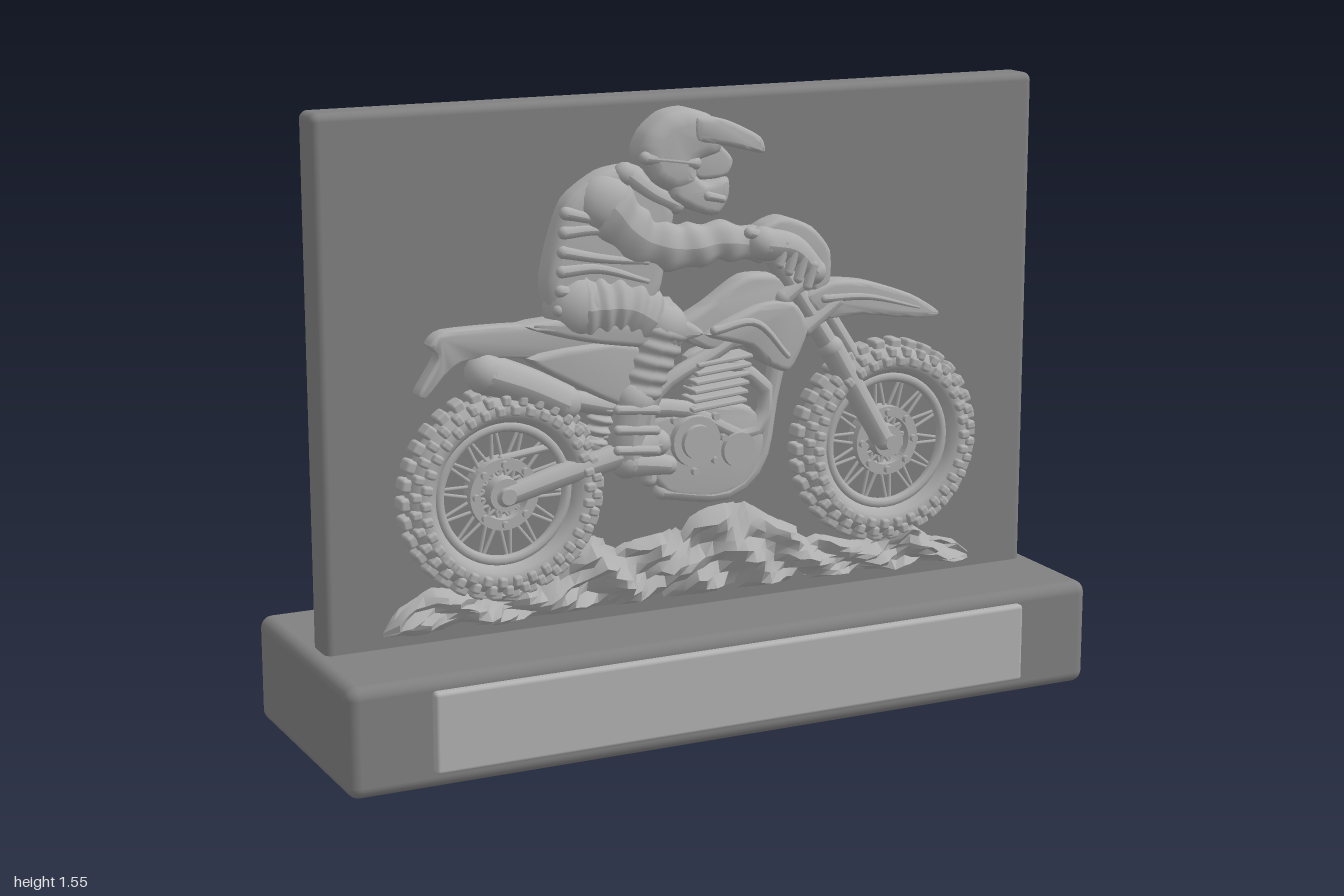
import * as THREE from 'three';
import { toCreasedNormals } from 'three/addons/utils/BufferGeometryUtils.js';
import { RoundedBoxGeometry } from 'three/addons/geometries/RoundedBoxGeometry.js';

const stone = new THREE.MeshStandardMaterial({ color: 0x808080 });
stone.name = 'dark grey stand';
const relief = new THREE.MeshStandardMaterial({ color: 0xaeaeae });
relief.name = 'light grey relief';
const plateMat = new THREE.MeshStandardMaterial({ color: 0xb2b2b2 });
plateMat.name = 'pale grey plate';

function add(parent, name, geo, mat, x = 0, y = 0, z = 0) {
  const m = new THREE.Mesh(geo, mat);
  m.name = name;
  m.position.set(x, y, z);
  parent.add(m);
  return m;
}

// Outlines and paths below are given in hundredths of a unit.
const vec = ([x, y], z = 0) => new THREE.Vector3(x / 100, y / 100, z);

// Raised panel with a smooth outline and a rounded front edge, up to depth `top`.
function panel(parent, name, pts, top, bevel = 0.014) {
  const curve = new THREE.CatmullRomCurve3(pts.map(p => vec(p)), true, 'catmullrom', 0.35);
  const outline = curve.getPoints(pts.length * 4).slice(0, -1);
  const geo = new THREE.ExtrudeGeometry(new THREE.Shape(outline.map(p => new THREE.Vector2(p.x, p.y))), {
    depth: top - 0.03 - bevel, bevelThickness: bevel, bevelSize: bevel, bevelOffset: -bevel, bevelSegments: 3,
  });
  return add(parent, name, toCreasedNormals(geo, 0.8), relief, 0, 0, 0.03);
}

// Tapered tube with rounded ends; `fold` adds cloth creases along it.
function limb(parent, name, pts, r0, r1, z = 0.09, fold = 0, flat = 1) {
  const group = new THREE.Group();
  group.name = name;
  parent.add(group);
  const curve = new THREE.CatmullRomCurve3(pts.map(p => vec(p)));
  const rows = fold ? 40 : 14, sides = 12;
  const geo = new THREE.TubeGeometry(curve, rows, 1, sides);
  const pos = geo.attributes.position, c = new THREE.Vector3(), v = new THREE.Vector3();
  for (let i = 0; i < pos.count; i++) {
    const t = Math.floor(i / (sides + 1)) / rows, a = (i % (sides + 1)) / sides * Math.PI * 2;
    curve.getPointAt(t, c);
    v.fromBufferAttribute(pos, i).sub(c);
    v.multiplyScalar(THREE.MathUtils.lerp(r0, r1, t) + fold * Math.sin(t * 34 + 1.4 * Math.sin(a)));
    pos.setXYZ(i, c.x + v.x, c.y + v.y, c.z + v.z * flat);
  }
  geo.computeVertexNormals();
  add(group, 'sleeve', geo, relief, 0, 0, z);
  [[pts[0], r0], [pts[pts.length - 1], r1]].forEach(([p, r]) => {
    add(group, 'end', new THREE.SphereGeometry(r, 14, 10), relief, p[0] / 100, p[1] / 100, z).scale.z = flat;
  });
  return group;
}

// Round boss facing forward, reaching depth `top`.
function boss(parent, name, x, y, r, top) {
  const m = add(parent, name, new THREE.CylinderGeometry(r * 0.88, r, top - 0.04, 24), relief, x, y, (top + 0.04) / 2);
  m.rotation.x = Math.PI / 2;
  return m;
}

function wheel(parent, name, x, y) {
  const g = new THREE.Group();
  g.name = name;
  g.position.set(x, y, 0);
  parent.add(g);
  add(g, 'tyre', new THREE.TorusGeometry(0.208, 0.037, 12, 60), relief, 0, 0, 0.085).scale.z = 1.2;
  add(g, 'rim', new THREE.TorusGeometry(0.164, 0.013, 8, 48), relief, 0, 0, 0.095);
  const ring = new THREE.Shape().absarc(0, 0, 0.088, 0, Math.PI * 2);
  ring.holes.push(new THREE.Path().absarc(0, 0, 0.062, 0, Math.PI * 2));
  add(g, 'brakeDisc', new THREE.ExtrudeGeometry(ring, { depth: 0.045, bevelEnabled: false, curveSegments: 24 }), relief, 0, 0, 0.06);
  boss(g, 'hub', 0, 0, 0.046, 0.115);
  boss(g, 'axle', 0, 0, 0.022, 0.135);
  // Tread: an outer row and two staggered side rows
  const knob = new RoundedBoxGeometry(0.032, 0.03, 0.05, 2, 0.008);
  const sideKnob = new RoundedBoxGeometry(0.022, 0.026, 0.03, 2, 0.007);
  const n = 34;
  for (let i = 0; i < n; i++) {
    const a = i / n * Math.PI * 2;
    [[knob, 0.247, 0.08, 0], [sideKnob, 0.232, 0.118, 0.5], [sideKnob, 0.21, 0.128, 0]].forEach(([geo, r, z, s]) => {
      const b = a + s * Math.PI * 2 / n;
      add(g, 'treadKnob', geo, relief, Math.cos(b) * r, Math.sin(b) * r, z).rotation.z = b - Math.PI / 2;
    });
  }
  // Crossed spokes
  const spoke = new THREE.CylinderGeometry(0.0045, 0.0045, 0.135, 6);
  for (let i = 0; i < 28; i++) {
    const a = i / 28 * Math.PI * 2, lean = i % 2 ? 0.22 : -0.22;
    add(g, 'spoke', spoke, relief, Math.cos(a) * 0.1, Math.sin(a) * 0.1, 0.08).rotation.z = a - Math.PI / 2 + lean;
  }
  for (let i = 0; i < 8; i++) {
    const a = i / 8 * Math.PI * 2;
    boss(g, 'discBolt', Math.cos(a) * 0.074, Math.sin(a) * 0.074, 0.01, 0.118);
  }
}

// Craggy ground built from a grid between the base line and a skyline.
function rocks(parent) {
  const sky = [[-82, 31], [-78, 37], [-69, 41], [-58, 38], [-42, 39], [-34, 46], [-28, 49], [-18, 46], [-8, 47], [3, 52],
    [14, 53], [23, 47], [33, 42], [46, 38], [60, 42], [68, 37], [75, 35], [80, 31]];
  const rand = (i, j) => { const s = Math.sin(i * 12.99 + j * 78.23) * 43758.55; return s - Math.floor(s); };
  const top = x => {
    const k = Math.max(1, sky.findIndex(p => p[0] >= x)), [a, b] = [sky[k - 1], sky[k]];
    return THREE.MathUtils.mapLinear(x, a[0], b[0], a[1], b[1]) / 100;
  };
  const cols = 64, rows = 8, geo = new THREE.PlaneGeometry(1, 1, cols, rows), pos = geo.attributes.position;
  for (let j = 0; j <= rows; j++) for (let i = 0; i <= cols; i++) {
    const v = 1 - j / rows, x = -82 + 162 * i / cols, edge = j === 0 || j === rows || i === 0 || i === cols;
    const y = THREE.MathUtils.lerp(0.295, top(x), v) + (edge ? 0 : (rand(i, j) - 0.5) * 0.012);
    const ridge = 0.02 * Math.sin(x * 0.35 + v * 7) + 0.035 * (rand(i >> 1, j) - 0.5);
    const z = edge ? 0.055 : 0.105 + ridge - 0.025 * Math.abs(2 * v - 1);
    pos.setXYZ(j * (cols + 1) + i, x / 100, y, z);
  }
  const flat = geo.toNonIndexed();
  flat.computeVertexNormals();
  add(parent, 'rockyGround', toCreasedNormals(flat, 0.6), relief);
}

function bike(parent) {
  wheel(parent, 'rearWheel', -0.52, 0.625);
  wheel(parent, 'frontWheel', 0.525, 0.645);
  // Bodywork
  panel(parent, 'rearFender', [[-70, 100], [-66, 103], [-47, 103], [-26, 101], [-4, 97], [-20, 91], [-39, 94], [-58, 96], [-65, 94], [-71, 88], [-73, 89], [-68, 97]], 0.105, 0.008);
  panel(parent, 'sidePanel', [[-46, 95], [-24, 97], [-12, 93], [-17, 80], [-28, 84]], 0.12);
  panel(parent, 'seat', [[-47, 103], [-28, 104], [-8, 102], [0, 97], [-14, 95], [-32, 98]], 0.13);
  limb(parent, 'muffler', [[-56, 92], [-46, 88], [-36, 83]], 0.05, 0.045, 0.09);
  panel(parent, 'tank', [[-8, 98], [2, 104], [12, 110], [22, 109], [26, 100], [18, 94], [4, 92]], 0.115);
  panel(parent, 'shroud', [[0, 97], [14, 103], [24, 103], [28, 96], [23, 86], [17, 88], [12, 93]], 0.14);
  limb(parent, 'shroudRib', [[2, 98], [13, 99], [22, 90]], 0.012, 0.008, 0.138);
  panel(parent, 'frontFender', [[28, 104], [36, 107], [46, 106], [58, 102], [66, 97], [64, 95.5], [54, 96.5], [44, 98], [33, 98]], 0.125, 0.011);
  limb(parent, 'fenderRib', [[33, 103], [45, 102.5], [60, 98.5]], 0.012, 0.006, 0.12);
  panel(parent, 'numberPlate', [[15, 121], [22, 124], [30, 121], [35, 115], [35, 107], [31, 104], [27, 110], [20, 114]], 0.12);
  // Front fork
  limb(parent, 'forkUpper', [[20, 114], [38, 87]], 0.026, 0.026, 0.1);
  limb(parent, 'forkLower', [[36, 90], [51, 65]], 0.032, 0.028, 0.105);
  limb(parent, 'farFork', [[27, 112], [46, 83]], 0.02, 0.022, 0.08);
  [[25, 106], [31, 98]].forEach(([x, y]) => limb(parent, 'forkClamp', [[x - 3, y - 2], [x + 6, y + 4]], 0.024, 0.02, 0.11));
  limb(parent, 'handlebar', [[12, 121], [18, 119], [24, 113]], 0.014, 0.014, 0.125);
  // Frame and swingarm
  limb(parent, 'downTube', [[24, 96], [20, 80], [16, 62], [8, 56], [-10, 58]], 0.022, 0.02, 0.085);
  limb(parent, 'upperTube', [[22, 102], [4, 92], [-13, 82], [-14, 62]], 0.02, 0.02, 0.1);
  limb(parent, 'swingarm', [[-52, 62], [-36, 66], [-12, 71]], 0.026, 0.034, 0.105);
  limb(parent, 'chain', [[-52, 71], [-34, 73], [-12, 74]], 0.01, 0.01, 0.09);
  limb(parent, 'exhaustPipe', [[10, 88], [19, 80], [14, 70], [-4, 78], [-20, 80], [-36, 84]], 0.02, 0.026, 0.09);
  limb(parent, 'rearShock', [[-22, 86], [-28, 72]], 0.03, 0.03, 0.08, 0.007);
  // Engine
  panel(parent, 'crankcase', [[-13, 76], [0, 79], [14, 77], [18, 68], [14, 58], [4, 55], [-8, 57], [-14, 64]], 0.105);
  boss(parent, 'clutchCover', -0.02, 0.705, 0.072, 0.125);
  boss(parent, 'clutchCap', -0.02, 0.705, 0.048, 0.14);
  boss(parent, 'ignitionCover', 0.1, 0.67, 0.05, 0.12);
  for (let i = 0; i < 8; i++) {
    const a = i / 8 * Math.PI * 2;
    boss(parent, 'coverBolt', -0.02 + Math.cos(a) * 0.078, 0.705 + Math.sin(a) * 0.078, 0.01, 0.122);
  }
  panel(parent, 'cylinderHead', [[-3, 91], [8, 93], [12, 80], [0, 77]], 0.09);
  for (let i = 0; i < 6; i++) {
    add(parent, 'coolingFin', new RoundedBoxGeometry(0.15, 0.011, 0.08, 2, 0.004), relief, 0.055 - i * 0.003, 0.9 - i * 0.022, 0.09).rotation.z = 0.08;
  }
}

function rider(parent) {
  panel(parent, 'torso', [[-17, 139], [-26, 138], [-35, 132], [-39, 122], [-41, 112], [-38, 102], [-30, 98], [-18, 99], [-11, 108], [-9, 118], [-7, 128], [-11, 135]], 0.12, 0.03);
  // Jersey folds
  for (let i = 0; i < 6; i++) {
    const y = 130 - i * 4.6;
    limb(parent, 'jerseyFold', [[-36 - i * 0.4, y - 1], [-28, y - 3 + (i % 2) * 2], [-15, y - 5]], 0.016, 0.008, 0.115);
  }
  limb(parent, 'collar', [[-20, 137], [-13, 132], [-7, 129]], 0.03, 0.025, 0.1);
  limb(parent, 'thigh', [[-32, 106], [-20, 105], [-10, 99]], 0.085, 0.068, 0.08, 0.005, 0.85);
  limb(parent, 'shin', [[-10, 99], [-14, 90], [-18, 80]], 0.064, 0.05, 0.095, 0.004, 0.9);
  limb(parent, 'boot', [[-18, 82], [-20, 74], [-20, 67]], 0.052, 0.042, 0.1);
  limb(parent, 'bootToe', [[-20, 67], [-14, 66], [-9, 65]], 0.04, 0.024, 0.105);
  for (let i = 0; i < 3; i++) limb(parent, 'bootStrap', [[-24, 81 - i * 5], [-14, 80 - i * 5]], 0.012, 0.012, 0.142);
  limb(parent, 'arm', [[-25, 130], [-17, 122], [-6, 118.5], [6, 119], [17, 117]], 0.075, 0.04, 0.095, 0.005, 0.75);
  limb(parent, 'glove', [[16, 118], [24, 116], [30, 110]], 0.042, 0.034, 0.115);
  for (let i = 0; i < 4; i++) limb(parent, 'finger', [[21 + i * 2.6, 118 - i * 2], [19.5 + i * 2.6, 113 - i * 2]], 0.013, 0.012, 0.14);
  // Helmet
  panel(parent, 'helmetShell', [[-17, 142], [-15, 147], [-10, 151], [-4, 152], [2, 150], [5, 146], [4, 141], [-2, 139], [-2, 134], [-8, 132], [-14, 135]], 0.145, 0.035);
  panel(parent, 'goggles', [[-4, 142], [4, 143], [8, 139], [6, 135], [-2, 135]], 0.12, 0.012);
  panel(parent, 'chinGuard', [[-5, 138], [0, 134], [6, 135], [6, 130], [3, 126], [-2, 127], [-9, 131], [-9, 136]], 0.14, 0.018);
  panel(parent, 'visor', [[-3, 150], [5, 149], [14, 144.5], [15, 140.5], [10, 141.5], [4, 143], [-3, 144.5]], 0.152, 0.014);
  limb(parent, 'goggleStrap', [[-16, 141], [-9, 140], [-3, 139]], 0.016, 0.016, 0.13);
  limb(parent, 'chinVent', [[0, 131], [4, 130]], 0.012, 0.01, 0.138);
}

export function createModel() {
  const model = new THREE.Group();
  model.name = 'reliefPlaque';
  add(model, 'base', new RoundedBoxGeometry(2, 0.27, 0.66, 4, 0.03), stone, 0, 0.135, -0.01);
  add(model, 'backBoard', new RoundedBoxGeometry(1.92, 1.35, 0.1, 4, 0.02), stone, 0, 0.875, 0.01);
  add(model, 'namePlate', new RoundedBoxGeometry(1.59, 0.2, 0.05, 3, 0.01), plateMat, 0, 0.14, 0.315);
  const scene = new THREE.Group();
  scene.name = 'reliefScene';
  model.add(scene);
  rocks(scene);
  bike(scene);
  rider(scene);
  return model;
}
